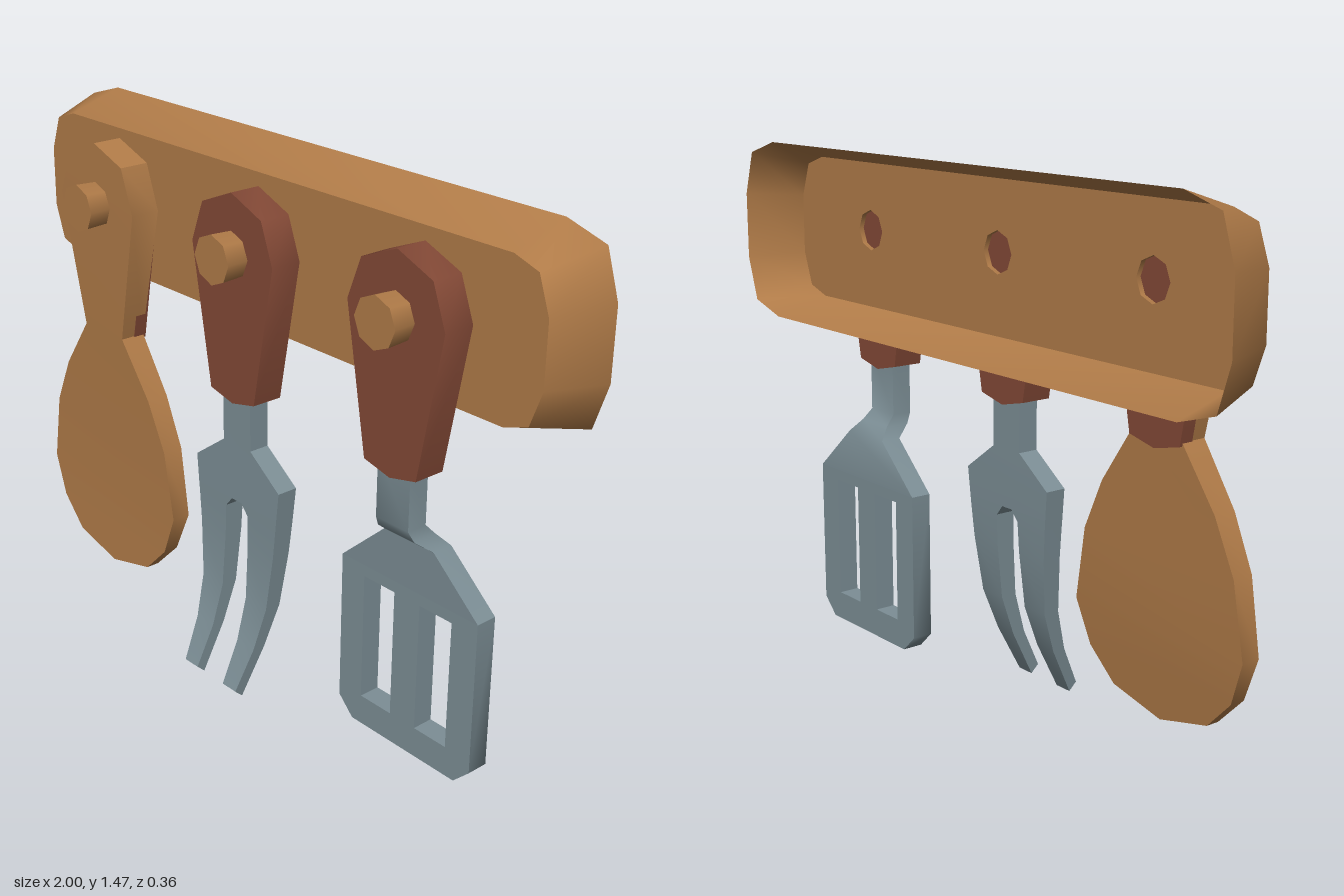
import * as THREE from 'three';
import { toCreasedNormals } from 'three/addons/utils/BufferGeometryUtils.js';

// Skin a list of convex rings; the first ring faces its own axis, counter-clockwise.
function loft(rings, crease, capped = true) {
  const n = rings[0].length, index = [];
  for (let r = 0; r < rings.length - 1; r++) {
    for (let i = 0; i < n; i++) {
      const j = (i + 1) % n, a = r * n, b = a + n;
      index.push(a + i, b + i, b + j, a + i, b + j, a + j);
    }
  }
  const last = (rings.length - 1) * n;
  for (let i = 1; capped && i < n - 1; i++) {
    index.push(0, i, i + 1, last, last + i + 1, last + i);
  }
  const g = new THREE.BufferGeometry();
  g.setAttribute('position', new THREE.Float32BufferAttribute(rings.flat(2), 3));
  g.setIndex(index);
  return toCreasedNormals(g.toNonIndexed(), crease);
}

// Flat bar described from top to bottom by rows of [y, x0, x1, z0, z1].
const bar = (rows, crease = 0.6) => loft(rows.map(([y, x0, x1, z0, z1]) =>
  [[x0, y, z1], [x1, y, z1], [x1, y, z0], [x0, y, z0]]), crease);

// Symmetric version with rows of [y, halfWidth, z0, z1].
const symBar = (rows, crease) => bar(rows.map(([y, w, z0, z1]) => [y, -w, w, z0, z1]), crease);

const vectors = points => points.map(([x, y]) => new THREE.Vector2(x, y));
const plate = (shape, depth) =>
  toCreasedNormals(new THREE.ExtrudeGeometry(shape, { depth, bevelEnabled: false }), 0.9);

// Board outline: one rounded quarter mirrored to all four corners.
function boardRing(quarter, cy, z) {
  const rev = [...quarter].reverse();
  const put = (pts, sx, sy) => pts.map(([x, y]) => [sx * x, cy + sy * y, z]);
  return [...put(quarter, 1, 1), ...put(rev, -1, 1), ...put(quarter, -1, -1), ...put(rev, 1, -1)];
}

export function createModel() {
  const material = (name, color, side = THREE.FrontSide) => {
    const m = new THREE.MeshStandardMaterial({ color, side });
    m.name = name;
    return m;
  };
  const wood = material('wood', 0xb07b48, THREE.DoubleSide);
  const darkWood = material('redWood', 0x834936);
  const steel = material('steel', 0x7c8e95);

  const group = new THREE.Group();
  group.name = 'utensilRack';
  const add = (parent, name, geometry, mat, x = 0, y = 0, z = 0) => {
    const mesh = new THREE.Mesh(geometry, mat);
    mesh.name = name;
    mesh.position.set(x, y, z);
    parent.add(mesh);
    return mesh;
  };
  const tool = (name, x) => {
    const g = new THREE.Group();
    g.name = name;
    g.position.x = x;
    group.add(g);
    return g;
  };

  // Hollow board: sloping rim, open at the back
  const pegXs = [-0.585, 0, 0.585], pegY = 1.233, pegBack = 0.058, boardZ = -0.015;
  const frontRing = boardRing([[0.945, 0.085], [0.91, 0.182], [0.835, 0.207]], 1.218, boardZ);
  const backRing = boardRing([[1, 0.095], [0.96, 0.219], [0.84, 0.255]], 1.22, -0.178);
  add(group, 'boardRim', loft([frontRing, backRing], 1.05, false), wood);

  // Board face, pierced behind each peg
  const face = new THREE.Shape(vectors(frontRing));
  for (const x of pegXs) {
    const hole = [];
    for (let i = 0; i < 8; i++) {
      const a = -i * Math.PI / 4;
      hole.push([x + pegBack * Math.cos(a), pegY + pegBack * Math.sin(a)]);
    }
    face.holes.push(new THREE.Path(vectors(hole)));
  }
  add(group, 'boardFace', new THREE.ShapeGeometry(face), wood, 0, 0, boardZ);

  // Hollow pegs, closed at the front only
  for (const x of pegXs) {
    const peg = new THREE.CylinderGeometry(0.067, pegBack, 0.17, 8, 1, true).rotateX(Math.PI / 2);
    add(group, 'peg', peg, wood, x, pegY, 0.07);
    add(group, 'pegEnd', new THREE.CircleGeometry(0.067, 8), wood, x, pegY, 0.155);
  }

  // Shared handle shape
  const half = [[0, 1.395], [0.115, 1.348], [0.158, 1.235], [0.087, 0.845], [0, 0.825]];
  const outline = [...half, ...half.slice(1, -1).reverse().map(([x, y]) => [-x, y])];
  const handleShape = new THREE.Shape(vectors(outline));
  const handleGeometry = plate(handleShape, 0.09);

  // Wooden spoon with a dark backing on its handle
  const spoon = tool('spoon', -0.585);
  add(spoon, 'spoonBody', symBar([
    [1.405, 0, 0.004, 0.091], [1.36, 0.122, 0.004, 0.091], [1.235, 0.167, 0.004, 0.091],
    [0.855, 0.087, 0.008, 0.082], [0.70, 0.197, 0.012, 0.078], [0.56, 0.262, 0.014, 0.075],
    [0.36, 0.296, 0.018, 0.073], [0.24, 0.252, 0.03, 0.075], [0.155, 0.168, 0.038, 0.077],
    [0.113, 0, 0.042, 0.078],
  ], 0.6), wood);
  add(spoon, 'spoonHandleBack', plate(handleShape, 0.04), darkWood);

  // Two-pronged fork
  const fork = tool('fork', 0);
  add(fork, 'forkHandle', handleGeometry, darkWood);
  add(fork, 'forkNeck', symBar([
    [0.87, 0.055, 0.015, 0.075], [0.70, 0.055, 0.015, 0.075],
    [0.617, 0.17, 0.015, 0.076], [0.535, 0.162, 0.017, 0.077],
  ]), steel);
  const tine = [
    [0.535, 0.02, 0.162, 0.017, 0.077], [0.505, 0.045, 0.159, 0.018, 0.077],
    [0.42, 0.047, 0.151, 0.022, 0.078], [0.26, 0.05, 0.135, 0.04, 0.088],
    [0.14, 0.053, 0.122, 0.083, 0.122], [0.015, 0.056, 0.11, 0.153, 0.177],
  ];
  // Tilt the tip so its end is square to the curve
  const tiltTip = g => {
    const p = g.attributes.position;
    for (let i = 0; i < p.count; i++) {
      if (p.getY(i) < 0.02) p.setY(i, p.getZ(i) > 0.165 ? 0.024 : 0.002);
    }
    return g;
  };
  add(fork, 'leftTine', tiltTip(bar(tine)), steel);
  add(fork, 'rightTine', tiltTip(bar(tine.map(([y, a, b, c, d]) => [y, -b, -a, c, d]))), steel);

  // Slotted spatula
  const spatula = tool('spatula', 0.585);
  add(spatula, 'spatulaHandle', handleGeometry, darkWood);
  add(spatula, 'spatulaNeck', symBar([
    [0.87, 0.055, 0.015, 0.075], [0.695, 0.055, 0.015, 0.075], [0.665, 0.062, -0.013, 0.06],
    [0.63, 0.085, -0.047, 0.014], [0.495, 0.236, -0.05, 0.011],
  ], 0.85), steel);
  const blade = new THREE.Shape(vectors([[-0.236, 0.495], [-0.236, 0.068], [-0.185, 0.018],
    [0.185, 0.018], [0.236, 0.068], [0.236, 0.495]]));
  for (const x of [-0.154, 0.043]) {
    blade.holes.push(new THREE.Path(
      vectors([[x, 0.102], [x, 0.463], [x + 0.109, 0.463], [x + 0.109, 0.102]])));
  }
  add(spatula, 'spatulaBlade', plate(blade, 0.061), steel, 0, 0, -0.05);

  return group;
}
